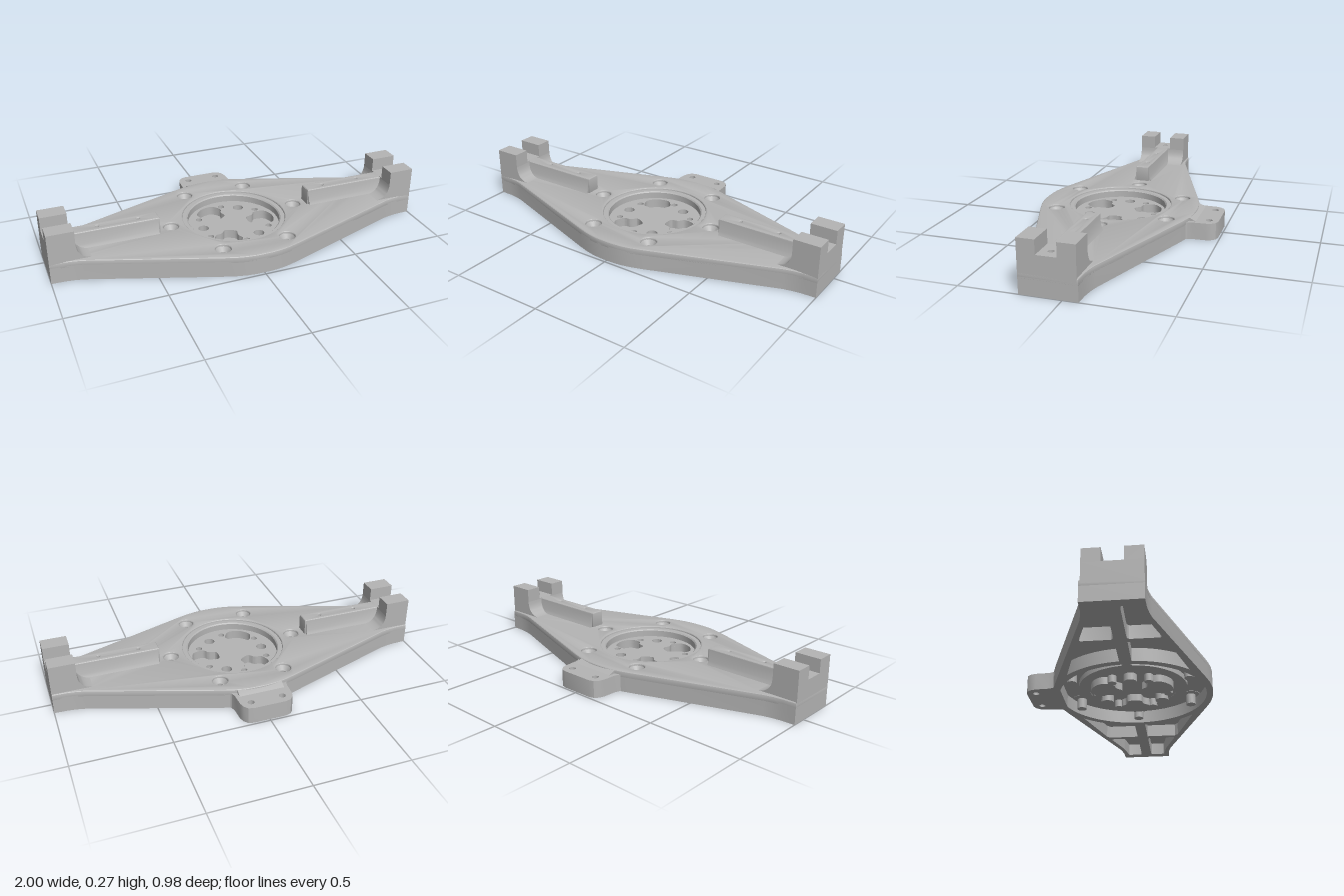
import * as THREE from 'three';
import { toCreasedNormals } from 'three/addons/utils/BufferGeometryUtils.js';

const metal = new THREE.MeshStandardMaterial({ color: 0xb4b4b4 });
metal.name = 'plain grey metal';

function add(parent, name, geometry) {
  const mesh = new THREE.Mesh(toCreasedNormals(geometry, 0.42), metal);
  mesh.name = name;
  parent.add(mesh);
  return mesh;
}

// Plan shapes use (x, z) pairs and are extruded upwards
function wind(points, clockwise) {
  const path = points.map(([x, z]) => new THREE.Vector2(x, -z));
  return THREE.ShapeUtils.isClockWise(path) === clockwise ? path : path.reverse();
}
const circle = (x, z, r, n = 28) => Array.from({ length: n }, (_, i) => {
  const a = (i / n) * Math.PI * 2;
  return [x + r * Math.cos(a), z + r * Math.sin(a)];
});
const rect = (x0, x1, z0, z1) => [[x0, z0], [x1, z0], [x1, z1], [x0, z1]];

function slab(outline, holes, y0, y1, bevel = 0) {
  const shape = new THREE.Shape(wind(outline, false));
  shape.holes = holes.map((h) => new THREE.Path(wind(h, true)));
  const geometry = new THREE.ExtrudeGeometry(shape, {
    depth: y1 - y0 - 2 * bevel, bevelEnabled: bevel > 0, bevelSize: bevel,
    bevelThickness: bevel, bevelOffset: -bevel, bevelSegments: 3,
  });
  return geometry.rotateX(-Math.PI / 2).translate(0, y0 + bevel, 0);
}

const lathe = (points, n = 32) =>
  new THREE.LatheGeometry(points.map(([x, y]) => new THREE.Vector2(x, y)), n);

function box(x0, x1, y0, y1, z0, z1) {
  return new THREE.BoxGeometry(x1 - x0, y1 - y0, z1 - z0)
    .translate((x0 + x1) / 2, (y0 + y1) / 2, (z0 + z1) / 2);
}

// A (z, y) section swept along x
function sweep(section, x0, x1) {
  const shape = new THREE.Shape(section.map(([z, y]) => new THREE.Vector2(-z, y)));
  return new THREE.ExtrudeGeometry(shape, { depth: x1 - x0, bevelEnabled: false })
    .rotateY(Math.PI / 2).translate(x0, 0, 0);
}

// Rounded corners for a closed plan polygon
function rounded(points, t = 0.3) {
  const out = [];
  points.forEach((p, i) => {
    const a = points[(i + points.length - 1) % points.length];
    const b = points[(i + 1) % points.length];
    for (let k = 0; k <= 4; k++) {
      const u = k / 4;
      const wa = t * (1 - u) ** 2, wb = t * u * u;
      out.push([0, 1].map((j) => p[j] + (a[j] - p[j]) * wa + (b[j] - p[j]) * wb));
    }
  });
  return out;
}

export function createModel() {
  const model = new THREE.Group();
  model.name = 'mountingPlate';
  const body = new THREE.Group();
  body.name = 'body';
  body.position.z = 0.065;
  model.add(body);

  // Diamond outline, mirrored from one quarter
  const quarter = [[1, 0.14], [0.93, 0.142], [0.885, 0.148], [0.84, 0.158],
    [0.2, 0.384], [0.14, 0.403], [0.09, 0.414], [0.045, 0.419]];
  const half = [...quarter, [0, 0.42], ...quarter.map(([x, z]) => [-x, z]).reverse()];
  const outline = [...half, ...half.map(([x, z]) => [-x, -z])];

  // Six screw seats around the hub
  const seats = [0, 1, 2, 3, 4, 5].map((i) => {
    const a = (i * Math.PI) / 3;
    return [0.348 * Math.cos(a), 0.348 * Math.sin(a)];
  });
  add(body, 'deck', slab(outline,
    [circle(0, 0, 0.272, 64), ...seats.map(([x, z]) => circle(x, z, 0.04))], 0.07, 0.11, 0.008));

  // Underside frame with weight-saving pockets between webs
  const arc = Array.from({ length: 11 }, (_, i) => {
    const a = THREE.MathUtils.degToRad(4 + i * 4.2);
    return [0.425 * Math.cos(a), 0.425 * Math.sin(a)];
  });
  const pockets = [
    [...arc, [0.6, 0.213], [0.62, 0.195], [0.62, 0.03]],
    rounded([[0.65, 0.03], [0.65, 0.193], [0.84, 0.13], [0.95, 0.112], [0.95, 0.03]], 0.1),
  ];
  const frameHoles = [circle(0, 0, 0.388, 64)];
  for (const sx of [-1, 1]) for (const sz of [-1, 1])
    for (const p of pockets) frameHoles.push(p.map(([x, z]) => [x * sx, z * sz]));
  add(body, 'undersideFrame', slab(outline, frameHoles, 0, 0.085));

  // Screw seats: countersunk on top, closed pins below
  for (const [x, z] of seats) {
    add(body, 'screwSeat', lathe([[0, 0.01], [0.026, 0.01], [0.026, 0.065], [0.052, 0.068],
      [0.052, 0.103], [0.044, 0.103], [0.024, 0.075], [0.018, 0.075], [0.018, 0.03], [0, 0.03]], 24))
      .position.set(x, 0, z);
  }

  // Round hub recess with a shallow step
  add(body, 'hubRim', lathe([[0.236, 0.042], [0.288, 0.042], [0.288, 0.1], [0.25, 0.1],
    [0.244, 0.094], [0.244, 0.06], [0.236, 0.06], [0.236, 0.042]], 72));
  const cups = [];
  for (let i = 0; i < 3; i++) {
    const a = (i * 2 * Math.PI) / 3, c = Math.cos(a), s = Math.sin(a);
    const turn = ([x, z]) => [x * c - z * s, x * s + z * c];
    const window = rounded([[0.08, -0.035], [0.125, -0.04], [0.145, -0.075], [0.21, -0.065],
      [0.23, 0], [0.21, 0.065], [0.145, 0.075], [0.125, 0.04], [0.08, 0.035]], 0.4);
    const shell = window.map(([x, z]) => [0.158 + (x - 0.158) * 1.1, z * 1.1]);
    cups.push({ name: 'hubPocket', inner: window.map(turn), outer: shell.map(turn) });
    const [hx, hz] = turn([-0.17, 0]);
    cups.push({ name: 'hubHole', inner: circle(hx, hz, 0.028), outer: circle(hx, hz, 0.034) });
  }
  for (let i = 0; i < 6; i++) {
    const a = Math.PI / 6 + (i * Math.PI) / 3;
    const x = 0.188 * Math.cos(a), z = 0.188 * Math.sin(a);
    cups.push({ name: 'hubBolt', inner: circle(x, z, 0.017, 16), outer: circle(x, z, 0.023, 16) });
  }
  add(body, 'hubFloor', slab(circle(0, 0, 0.24, 64), cups.map((c) => c.inner), 0.043, 0.06));
  for (const { name, inner, outer } of cups) {
    add(body, name + 'Wall', slab(outer, [inner], 0.01, 0.045));
    add(body, name + 'Base', slab(outer, [], 0.004, 0.012));
  }

  // Rail, clamp block and fillet at each end
  for (const side of [0, 1]) {
    const end = new THREE.Group();
    end.name = side ? 'rightEnd' : 'leftEnd';
    end.rotation.y = side * Math.PI;
    end.position.z = 0.003;
    body.add(end);

    add(end, 'rail', slab(rect(0.416, 0.88, -0.036, 0.036),
      [circle(0.52, 0, 0.008, 16), circle(0.73, 0, 0.008, 16)], 0.1, 0.195, 0.008));
    // Sloping rail flanks
    for (const s of [-1, 1]) {
      add(end, 'railFlank', sweep([[0.03, 0.1], [0.056, 0.1], [0.05, 0.114], [0.043, 0.13],
        [0.036, 0.184], [0.03, 0.184]].map(([z, y]) => [z * s, y]), 0.424, 0.864));
    }

    add(end, 'blockBase', slab(rect(0.865, 1, -0.137, 0.137),
      [circle(0.94, 0, 0.015, 16)], 0.09, 0.195));
    add(end, 'blockPost', box(0.865, 1, 0.19, 0.265, 0.05, 0.137));
    add(end, 'blockPost', box(0.865, 1, 0.19, 0.265, -0.137, -0.05));

    const fillet = new THREE.Shape();
    fillet.moveTo(0.875, 0.1);
    fillet.lineTo(0.875, 0.19);
    fillet.lineTo(0.865, 0.19);
    fillet.quadraticCurveTo(0.862, 0.111, 0.78, 0.109);
    fillet.lineTo(0.78, 0.1);
    add(end, 'blockFillet', new THREE.ExtrudeGeometry(fillet,
      { depth: 0.274, bevelEnabled: false, curveSegments: 10 }).translate(0, 0, -0.137));
  }

  // Rear tab with two through holes and flared root
  const tabSide = [[0.2, -0.372], [0.165, -0.385], [0.148, -0.405], [0.141, -0.43],
    [0.138, -0.5], [0.13, -0.527], [0.113, -0.547], [0.085, -0.555]];
  const tab = [...tabSide, ...tabSide.map(([x, z]) => [-x, z]).reverse()];
  add(body, 'rearTab', slab(tab,
    [circle(0.083, -0.505, 0.017, 20), circle(-0.083, -0.505, 0.017, 20)], 0, 0.09));
  add(body, 'tabRamp', sweep([[-0.4, 0.07], [-0.4, 0.108], [-0.415, 0.104], [-0.445, 0.089],
    [-0.445, 0.07]], -0.12, 0.12));

  return model;
}
